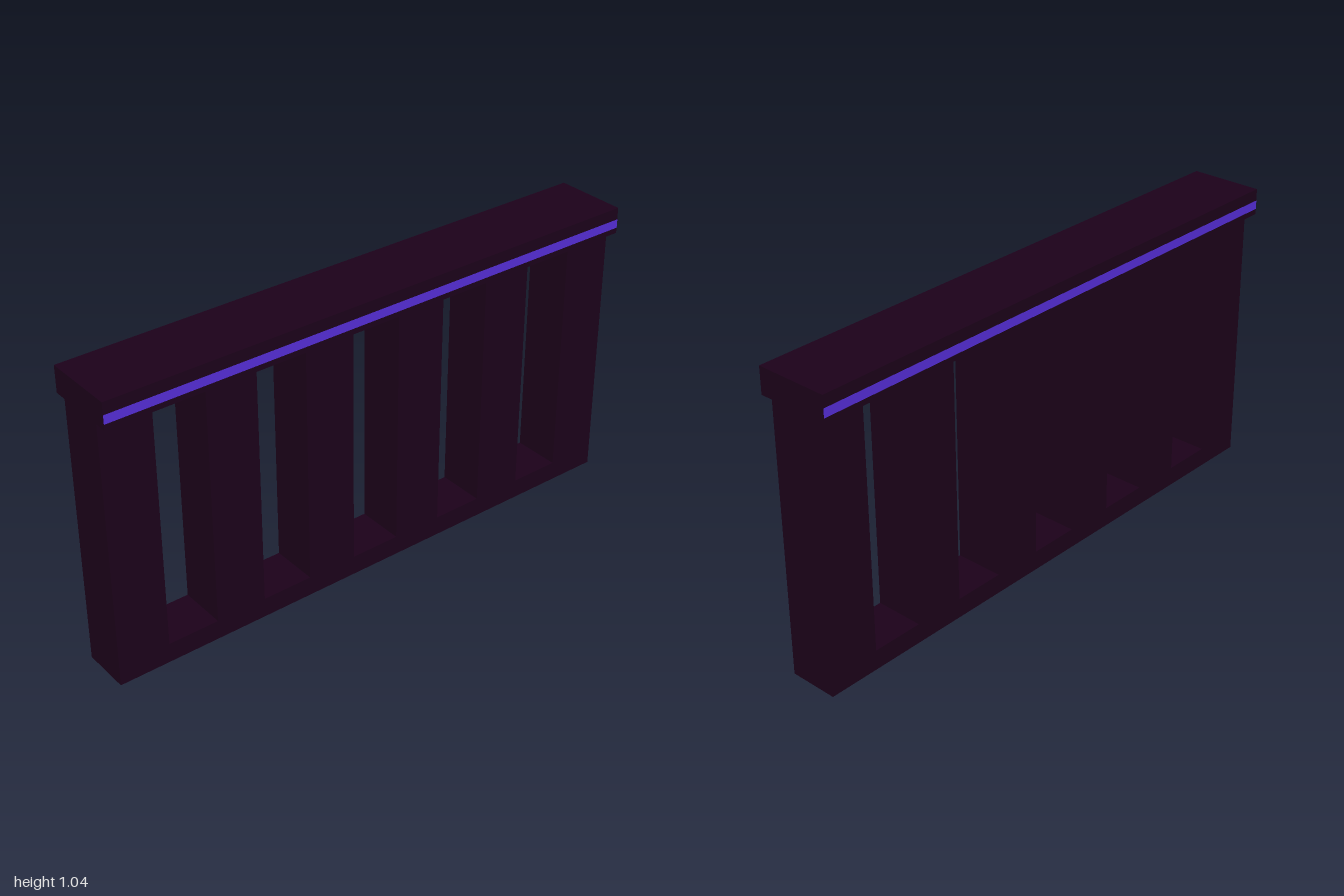
import * as THREE from 'three';

export function createModel() {
  const model = new THREE.Group();
  model.name = 'balustrade';

  const darkPlum = new THREE.MeshStandardMaterial({ color: 0x1c011a });
  darkPlum.name = 'dark plum';
  const violet = new THREE.MeshStandardMaterial({ color: 0x572eda });
  violet.name = 'violet';

  const rect = (path, x0, y0, x1, y1) => {
    path.moveTo(x0, y0);
    path.lineTo(x1, y0);
    path.lineTo(x1, y1);
    path.lineTo(x0, y1);
    path.closePath();
    return path;
  };

  // Panel with six posts and five openings of equal width
  const depth = 0.172, unit = 2 / 11;
  const outline = rect(new THREE.Shape(), -1, 0, 1, 0.945);
  for (let i = 0; i < 5; i++) {
    const x = -1 + unit * (1 + 2 * i);
    outline.holes.push(rect(new THREE.Path(), x, 0.07, x + unit, 0.925));
  }
  const panelGeometry = new THREE.ExtrudeGeometry(outline, { depth, bevelEnabled: false });
  panelGeometry.translate(0, 0, -depth / 2);
  const panel = new THREE.Mesh(panelGeometry, darkPlum);
  panel.name = 'postPanel';
  model.add(panel);

  // Overhanging top rail
  const railDepth = 0.259;
  const rail = new THREE.Mesh(new THREE.BoxGeometry(2, 0.092, railDepth), darkPlum);
  rail.name = 'topRail';
  rail.position.y = 0.991;
  model.add(rail);

  // Painted stripe on both long sides of the rail
  for (const side of [1, -1]) {
    const stripe = new THREE.Mesh(new THREE.PlaneGeometry(2, 0.031), violet);
    stripe.name = side > 0 ? 'frontStripe' : 'backStripe';
    stripe.position.set(0, 0.98, side * (railDepth / 2 + 0.0006));
    stripe.rotation.y = side > 0 ? 0 : Math.PI;
    model.add(stripe);
  }

  return model;
}
